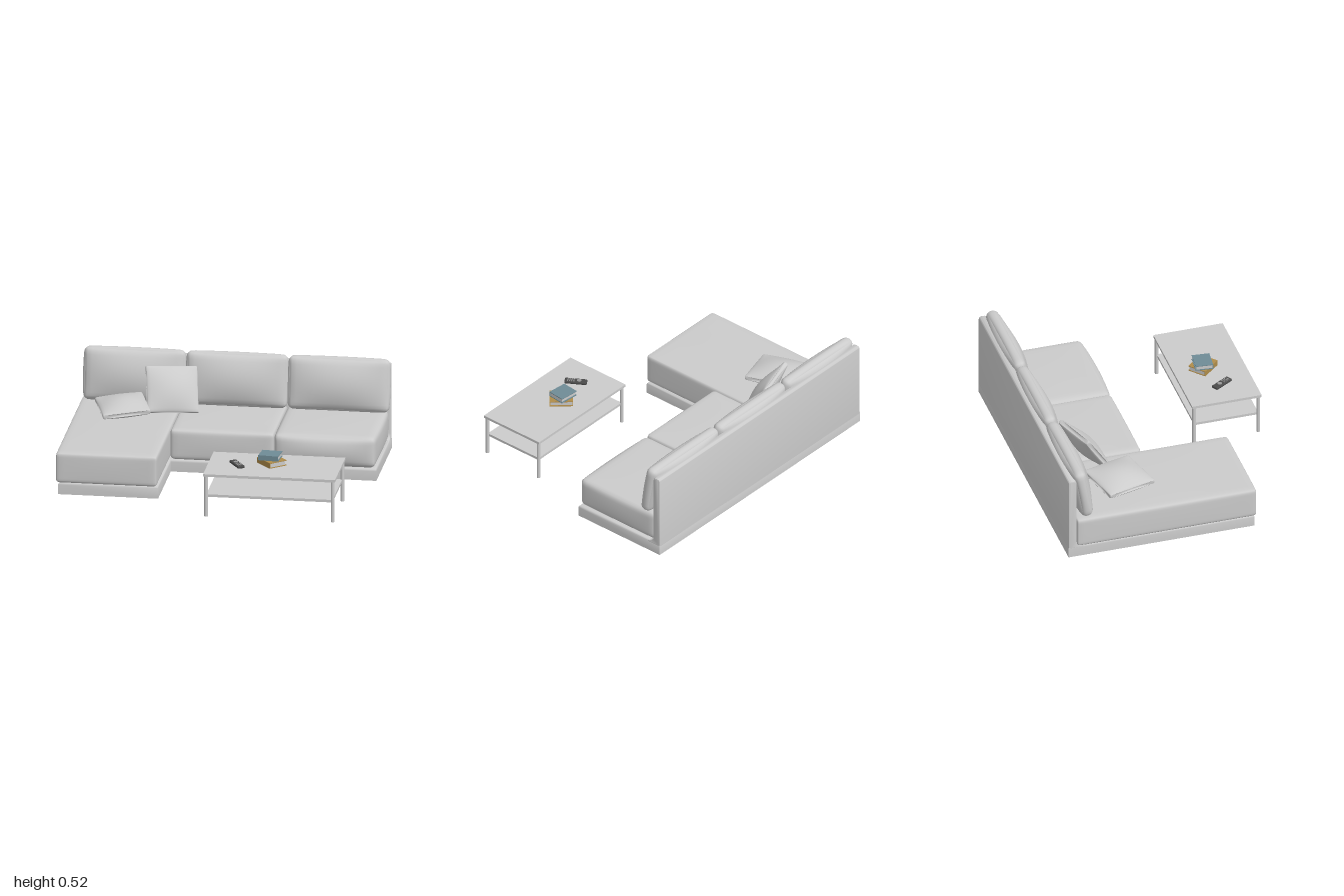
import * as THREE from 'three';
import { mergeVertices, toCreasedNormals } from 'three/addons/utils/BufferGeometryUtils.js';

const grey = new THREE.MeshStandardMaterial({ color: 0xcccccc });
const shellGrey = new THREE.MeshStandardMaterial({ color: 0xcccccc, side: THREE.DoubleSide });
const paint = (color) => new THREE.MeshStandardMaterial({ color });

function add(parent, name, geometry, material, x = 0, y = 0, z = 0) {
  const mesh = new THREE.Mesh(geometry, material);
  mesh.name = name;
  mesh.position.set(x, y, z);
  parent.add(mesh);
  return mesh;
}

// Soft block: rounded edges, each side swelling (or pinching) towards its middle
function cushion(w, h, d, r, swell) {
  const g = new THREE.BoxGeometry(2, 2, 2, 16, 16, 16);
  g.deleteAttribute('uv');
  g.deleteAttribute('normal');
  const half = new THREE.Vector3(w / 2, h / 2, d / 2);
  const inner = half.clone().subScalar(r);
  const pos = g.attributes.position;
  const p = new THREE.Vector3(), core = new THREE.Vector3(), n = new THREE.Vector3();
  const ease = (t) => Math.sin(t * Math.PI / 2);
  for (let i = 0; i < pos.count; i++) {
    n.fromBufferAttribute(pos, i);
    n.set(ease(n.x), ease(n.y), ease(n.z));
    p.copy(n).multiply(half);
    core.copy(p).clamp(inner.clone().negate(), inner);
    p.sub(core).setLength(r).add(core);
    const fx = 1 - n.x * n.x, fy = 1 - n.y * n.y, fz = 1 - n.z * n.z;
    p.x += n.x * swell[0] * fy * fz;
    p.y += n.y * swell[1] * fx * fz;
    p.z += n.z * swell[2] * fx * fy;
    pos.setXYZ(i, p.x, p.y, p.z);
  }
  const merged = mergeVertices(g, 1e-5);
  merged.computeVertexNormals();
  return merged;
}

// Throw pillow: thin seams, plump middle, slightly concave sides
const throwPillow = (w, h, d) => cushion(w, h, d, 0.012, [-0.012, -0.012, 0.034]);

// L-shaped plinth, open underneath, with a rounded upper edge
function plinthGeometry() {
  const b = 0.012, top = 0.065;
  const outline = [[-0.86, -0.575], [0.775, -0.575], [0.775, -0.01], [-0.325, -0.01], [-0.325, 0.455], [-0.86, 0.455]];
  const shape = new THREE.Shape(outline.map(([x, z]) => new THREE.Vector2(x, -z)));
  const g = new THREE.ExtrudeGeometry(shape, {
    depth: top, bevelEnabled: true, bevelThickness: b, bevelSize: b, bevelOffset: -b, bevelSegments: 4,
  });
  g.rotateX(-Math.PI / 2);
  g.translate(0, -b, 0);
  const pos = g.attributes.position;
  const kept = [];
  for (let i = 0; i < pos.count; i += 3) {
    const ids = [i, i + 1, i + 2];
    if (ids.every((k) => pos.getY(k) < 0.001)) continue;
    for (const k of ids) kept.push(pos.getX(k), Math.max(0, pos.getY(k)), pos.getZ(k));
  }
  const open = new THREE.BufferGeometry();
  open.setAttribute('position', new THREE.Float32BufferAttribute(kept, 3));
  return toCreasedNormals(open, 0.7);
}

// Back panel profile with rounded top and a cove where it meets the plinth
function backPanelGeometry() {
  const s = new THREE.Shape();
  s.moveTo(0.575, 0.05);
  s.lineTo(0.575, 0.462);
  s.quadraticCurveTo(0.575, 0.48, 0.557, 0.48);
  s.lineTo(0.548, 0.48);
  s.quadraticCurveTo(0.53, 0.48, 0.53, 0.462);
  s.lineTo(0.53, 0.1);
  s.quadraticCurveTo(0.53, 0.065, 0.49, 0.063);
  s.lineTo(0.49, 0.05);
  const b = 0.006;
  const g = new THREE.ExtrudeGeometry(s, {
    depth: 1.635 - 2 * b, bevelEnabled: true, bevelThickness: b, bevelSize: b, bevelOffset: -b,
    bevelSegments: 2, curveSegments: 8,
  });
  g.rotateY(Math.PI / 2);
  g.translate(-0.86 + b, 0, 0);
  return toCreasedNormals(g, 0.7);
}

function createSofa() {
  const sofa = new THREE.Group();
  sofa.name = 'sofa';
  add(sofa, 'plinth', plinthGeometry(), shellGrey);
  add(sofa, 'backPanel', backPanelGeometry(), grey);

  // Seats
  add(sofa, 'chaiseSeat', cushion(0.54, 0.168, 0.995, 0.018, [0.002, 0.004, 0.003]), grey, -0.602, 0.149, -0.0325);
  add(sofa, 'middleSeat', cushion(0.555, 0.168, 0.52, 0.022, [0, 0.004, 0.006]), grey, -0.052, 0.149, -0.27);
  add(sofa, 'endSeat', cushion(0.54, 0.168, 0.52, 0.03, [0.008, 0.006, 0.026]), grey, 0.496, 0.149, -0.27);

  // Leaning back cushions
  for (const x of [-0.588, -0.04, 0.506]) {
    const back = add(sofa, 'backCushion', cushion(0.54, 0.285, 0.066, 0.03, [0.006, 0.004, 0.042]), grey, x, 0.373, -0.486);
    back.rotation.x = -0.17;
  }
  return sofa;
}

function createTable() {
  const table = new THREE.Group();
  table.name = 'coffeeTable';
  const w = 0.706, d = 0.384;
  add(table, 'tableTop', new THREE.BoxGeometry(w, 0.014, d), grey, 0, 0.238, 0);
  add(table, 'shelf', new THREE.BoxGeometry(w - 0.03, 0.014, d - 0.03), grey, 0, 0.122, 0);
  for (const sx of [-1, 1]) for (const sz of [-1, 1]) {
    add(table, 'tableLeg', new THREE.CylinderGeometry(0.01, 0.01, 0.225, 16), grey,
      sx * (w / 2 - 0.014), 0.12, sz * (d / 2 - 0.014));
  }
  return table;
}

// Book: two covers, a spine and a page block
function createBook(name, color, w, h, d) {
  const book = new THREE.Group();
  book.name = name;
  const cover = paint(color), t = 0.004;
  for (const s of [-1, 1]) add(book, 'cover', new THREE.BoxGeometry(w, t, d), cover, 0, s * (h - t) / 2, 0);
  add(book, 'spine', new THREE.BoxGeometry(t, h - 2 * t, d), cover, -(w - t) / 2, 0, 0);
  add(book, 'pages', new THREE.BoxGeometry(w - 0.01, h - 2 * t, d - 0.008), paint(0xcccccc), -0.001, 0, 0);
  return book;
}

function createRemote() {
  const remote = new THREE.Group();
  remote.name = 'remoteControl';
  add(remote, 'remoteBody', cushion(0.04, 0.015, 0.12, 0.006, [0, 0, 0]), paint(0x4a4a4a));
  const button = new THREE.CylinderGeometry(0.0035, 0.0035, 0.003, 10);
  const light = paint(0x999999);
  for (let row = 0; row < 4; row++) for (const x of [-0.01, 0, 0.01]) {
    add(remote, 'button', button, light, x, 0.008, 0.01 + row * 0.011);
  }
  add(remote, 'dial', new THREE.CylinderGeometry(0.012, 0.012, 0.003, 20), light, 0, 0.008, -0.018);
  return remote;
}

export function createModel() {
  const model = new THREE.Group();
  model.name = 'loungeSet';

  // Furniture stands at an angle
  const furniture = new THREE.Group();
  furniture.name = 'furniture';
  furniture.rotation.y = -0.7226;
  const table = createTable();
  table.position.set(0.311, 0, 0.552);
  furniture.add(createSofa(), table);
  model.add(furniture);

  // Throw pillows: one lying on the chaise, one propped up
  const lying = add(model, 'lyingPillow', throwPillow(0.26, 0.29, 0.026), grey, -0.315, 0.285, -0.57);
  lying.rotation.set(-Math.PI / 2 + 0.04, 0.05, -0.42, 'YXZ');
  lying.rotation.set(-Math.PI / 2, -0.08, -0.42, 'XYZ');
  const propped = add(model, 'proppedPillow', throwPillow(0.28, 0.26, 0.028), grey, -0.055, 0.35, -0.49);
  propped.rotation.set(-0.58, -0.41, -0.06, 'YXZ');

  // Things on the table
  const lower = createBook('lowerBook', 0xb08d4a, 0.105, 0.03, 0.125);
  lower.position.set(-0.125, 0.26, 0.585);
  const upper = createBook('upperBook', 0x6f8c96, 0.095, 0.028, 0.108);
  upper.position.set(-0.128, 0.289, 0.575);
  upper.rotation.y = 0.75;
  const remote = createRemote();
  remote.position.set(-0.292, 0.2525, 0.505);
  remote.rotation.y = -0.17;
  model.add(lower, upper, remote);
  return model;
}
